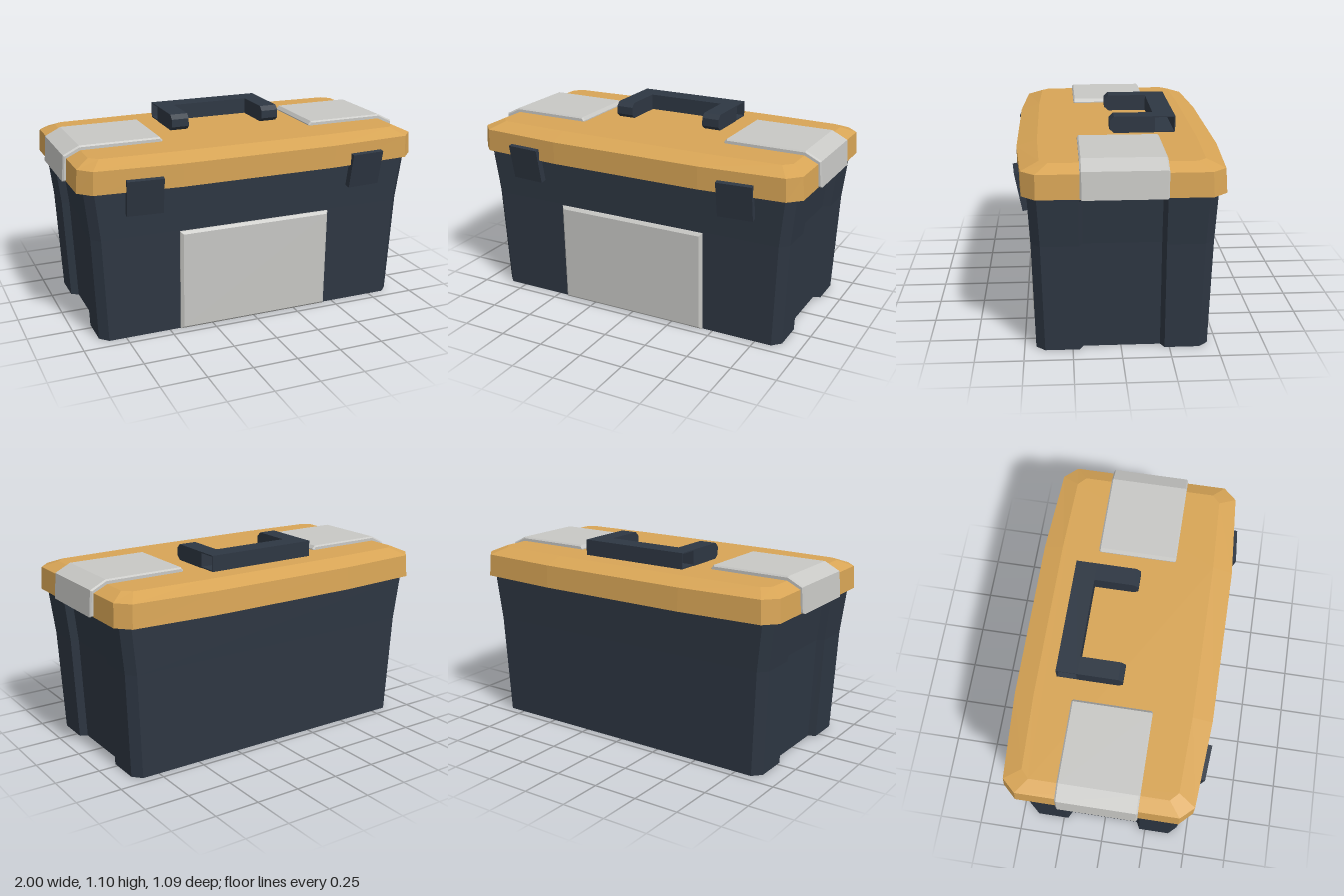
import * as THREE from 'three';

const navy = new THREE.MeshStandardMaterial({ color: 0x2e3743 });
navy.name = 'dark navy';
const amber = new THREE.MeshStandardMaterial({ color: 0xd8a556 });
amber.name = 'amber';
const grey = new THREE.MeshStandardMaterial({ color: 0xc8c8c5 });
grey.name = 'light grey';

// Faceted solid through horizontal rings of [x, y, z], counterclockwise seen from above
function loft(rings) {
  const n = rings[0].length, index = [];
  for (let r = 0; r < rings.length - 1; r++) {
    for (let i = 0; i < n; i++) {
      const a = r * n + i, b = r * n + (i + 1) % n;
      index.push(a, b, b + n, a, b + n, a + n);
    }
  }
  const cap = (ring) => THREE.ShapeUtils.triangulateShape(ring.map(([x, , z]) => new THREE.Vector2(x, -z)), []);
  const top = (rings.length - 1) * n;
  cap(rings[0]).forEach(([a, b, c]) => index.push(a, c, b));
  cap(rings[rings.length - 1]).forEach(([a, b, c]) => index.push(top + a, top + b, top + c));
  const indexed = new THREE.BufferGeometry();
  indexed.setAttribute('position', new THREE.Float32BufferAttribute(rings.flat(2), 3));
  indexed.setIndex(index);
  const geometry = indexed.toNonIndexed();
  geometry.computeVertexNormals();
  return geometry;
}

// Ring from its right-hand half, listed from back to front
function mirroredRing(y, half) {
  const right = half.map(([x, z]) => [x, y, z]);
  const left = right.map(([x, , z]) => [-x, y, z]);
  // half runs back to front along +x, so the left side follows from the back
  return [...left, ...right.reverse()];
}

function polygon(points) {
  return new THREE.Shape(points.map(([x, y]) => new THREE.Vector2(x, y)));
}

// Extrusion centred on z whose outline stays the given size at the widest point
function bevelled(points, width, bevel) {
  const geometry = new THREE.ExtrudeGeometry(polygon(points), {
    depth: width - 2 * bevel, bevelEnabled: true, bevelSegments: 1,
    bevelSize: bevel, bevelThickness: bevel, bevelOffset: -bevel,
  });
  return geometry.translate(0, 0, bevel - width / 2);
}

// Tub outline with cut corners and a recess in each end
function bodyRing(y, x, front, back, inset) {
  return mirroredRing(y, [
    [x - 0.045, back], [x, back + 0.047],
    [x, -0.225], [x - inset, -0.205], [x - inset, 0.195], [x, 0.215],
    [x, front - 0.047], [x - 0.045, front],
  ]);
}

function lidRing(y, x, corner, back, front) {
  return mirroredRing(y, [
    [0.44, back[0]], [corner, back[1]], [x, back[2]],
    [x, front[2]], [corner, front[1]], [0.44, front[0]],
  ]);
}

export function createModel() {
  const model = new THREE.Group();
  model.name = 'toolbox';
  const add = (name, geometry, material, parent = model) => {
    const mesh = new THREE.Mesh(geometry, material);
    mesh.name = name;
    parent.add(mesh);
    return mesh;
  };

  // Tapered tub; the end recesses close just under the lid
  add('body', loft([
    bodyRing(0, 0.89, 0.44, -0.453, 0.04),
    bodyRing(0.58, 0.915, 0.455, -0.468, 0.04),
    bodyRing(0.82, 0.942, 0.467, -0.478, 0.04),
    bodyRing(0.846, 0.945, 0.468, -0.479, 0.002),
  ]), navy);

  // Lid with bowed long sides, cut corners and a sloped rim
  add('lid', loft([
    lidRing(0.845, 0.98, 0.912, [-0.547, -0.518, -0.445], [0.527, 0.494, 0.425]),
    lidRing(0.97, 0.972, 0.906, [-0.538, -0.51, -0.438], [0.529, 0.496, 0.425]),
    lidRing(1.006, 0.895, 0.85, [-0.432, -0.418, -0.375], [0.42, 0.405, 0.362]),
  ]), amber);

  // Grey covers folded over both ends of the lid
  const coverShape = [
    [0.44, 0.995], [0.44, 1.012], [0.455, 1.03], [0.9, 1.03], [0.988, 0.986],
    [0.999, 0.845], [0.955, 0.845], [0.955, 0.95], [0.88, 0.995],
  ];
  for (const side of [1, -1]) {
    const cover = add(side > 0 ? 'leftEndCover' : 'rightEndCover', bevelled(coverShape, 0.435, 0.008), grey);
    cover.position.z = -0.008;
    if (side < 0) cover.rotation.y = Math.PI;
  }

  // Front panel leaning with the tub wall
  const panel = add('frontPanel', bevelled([[-0.44, 0.002], [0.44, 0.002], [0.44, 0.576], [-0.44, 0.576]], 0.06, 0.014), grey);
  panel.position.z = 0.434;
  panel.rotation.x = 0.024;

  // Latches follow the bow of the lid and tilt outward at the top
  for (const side of [1, -1]) {
    const latch = add(side > 0 ? 'leftLatch' : 'rightLatch', new THREE.BoxGeometry(0.195, 0.2, 0.035), navy);
    latch.position.set(side * 0.643, 0.812, 0.503);
    latch.rotation.set(0.19, side * 0.075, 0, 'YXZ');
  }

  // Carry handle: two solid arms and a hollow grip open at its ends
  const handle = new THREE.Group();
  handle.name = 'handle';
  model.add(handle);
  const alongX = (shape, length) => new THREE.ExtrudeGeometry(shape, { depth: length, bevelEnabled: false })
    .translate(0, 0, -length / 2).rotateY(Math.PI / 2); // shape x becomes -z
  const armShape = polygon([
    [-0.005, 1.006], [0.213, 1.006], [0.213, 1.096], [-0.005, 1.096], [-0.03, 1.072], [-0.03, 1.028],
  ]);
  for (const side of [1, -1]) {
    add(side > 0 ? 'leftHandleArm' : 'rightHandleArm', alongX(armShape, 0.1), navy, handle).position.x = side * 0.275;
  }
  const gripShape = polygon([[0.213, 1.008], [0.329, 1.008], [0.329, 1.096], [0.213, 1.096]]);
  gripShape.holes.push(new THREE.Path([[0.219, 1.014], [0.219, 1.09], [0.323, 1.09], [0.323, 1.014]]
    .map(([x, y]) => new THREE.Vector2(x, y))));
  add('handleGrip', alongX(gripShape, 0.65), navy, handle);

  return model;
}
